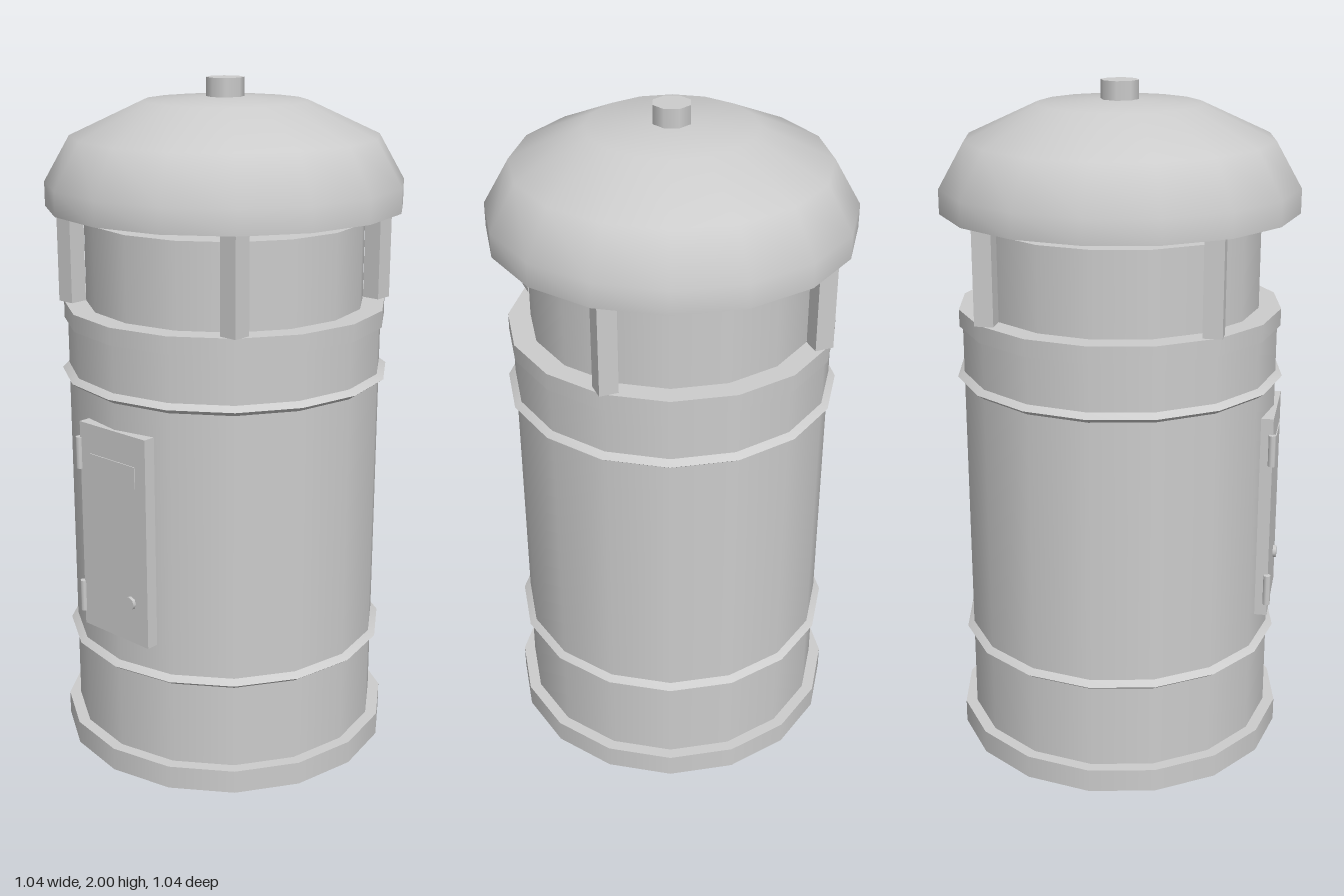
import * as THREE from 'three';
import { toCreasedNormals } from 'three/addons/utils/BufferGeometryUtils.js';

const SIDES = 16;

export function createModel() {
  const model = new THREE.Group();
  model.name = 'ventilatedKiosk';
  const paleGrey = new THREE.MeshStandardMaterial({ color: 0xcccccc });
  paleGrey.name = 'paleGrey';

  function add(name, geometry, x = 0, y = 0, z = 0) {
    const mesh = new THREE.Mesh(geometry, paleGrey);
    mesh.name = name;
    mesh.position.set(x, y, z);
    model.add(mesh);
    return mesh;
  }
  // Upright drum between two heights
  const drum = (name, radius, y0, y1, sides = SIDES) =>
    add(name, new THREE.CylinderGeometry(radius, radius, y1 - y0, sides), 0, (y0 + y1) / 2, 0);
  // Turned profile, smooth except at sharp corners
  const turned = (name, points) =>
    add(name, toCreasedNormals(
      new THREE.LatheGeometry(points.map(([r, y]) => new THREE.Vector2(r, y)), SIDES),
      THREE.MathUtils.degToRad(60)));

  // Main drums
  drum('base', 0.5, 0, 0.07);
  drum('body', 0.465, 0.07, 1.31);
  drum('topRing', 0.475, 1.31, 1.36);
  drum('neck', 0.41, 1.36, 1.605);

  // Pointed bands around the body
  for (const y of [0.338, 1.157]) {
    turned('band', [[0.46, y - 0.018], [0.485, y], [0.46, y + 0.018]]);
  }

  // Posts carrying the cap
  for (const sx of [-1, 1]) {
    for (const sz of [-1, 1]) {
      add('post', new THREE.BoxGeometry(0.055, 0.28, 0.055), sx * 0.318, 1.5, sz * 0.318);
    }
  }

  // Domed cap with closed underside, and its finial
  turned('cap', [[0, 1.64], [0.52, 1.64], [0.52, 1.71], [0.445, 1.84], [0.237, 1.936], [0, 1.95]]);
  drum('finial', 0.055, 1.94, 2, 8);

  // Door with nameplate, hinges and knob
  add('door', new THREE.BoxGeometry(0.26, 0.63, 0.037), 0, 0.75, 0.457);
  add('doorPlate', new THREE.BoxGeometry(0.18, 0.065, 0.004), 0, 0.945, 0.4765);
  for (const y of [0.523, 0.97]) {
    add('hinge', new THREE.CylinderGeometry(0.011, 0.011, 0.095, 8), -0.135, y, 0.474);
  }
  const knob = add('knob', new THREE.CylinderGeometry(0.02, 0.02, 0.015, 8), 0.064, 0.56, 0.478);
  knob.rotation.x = Math.PI / 2;

  return model;
}
